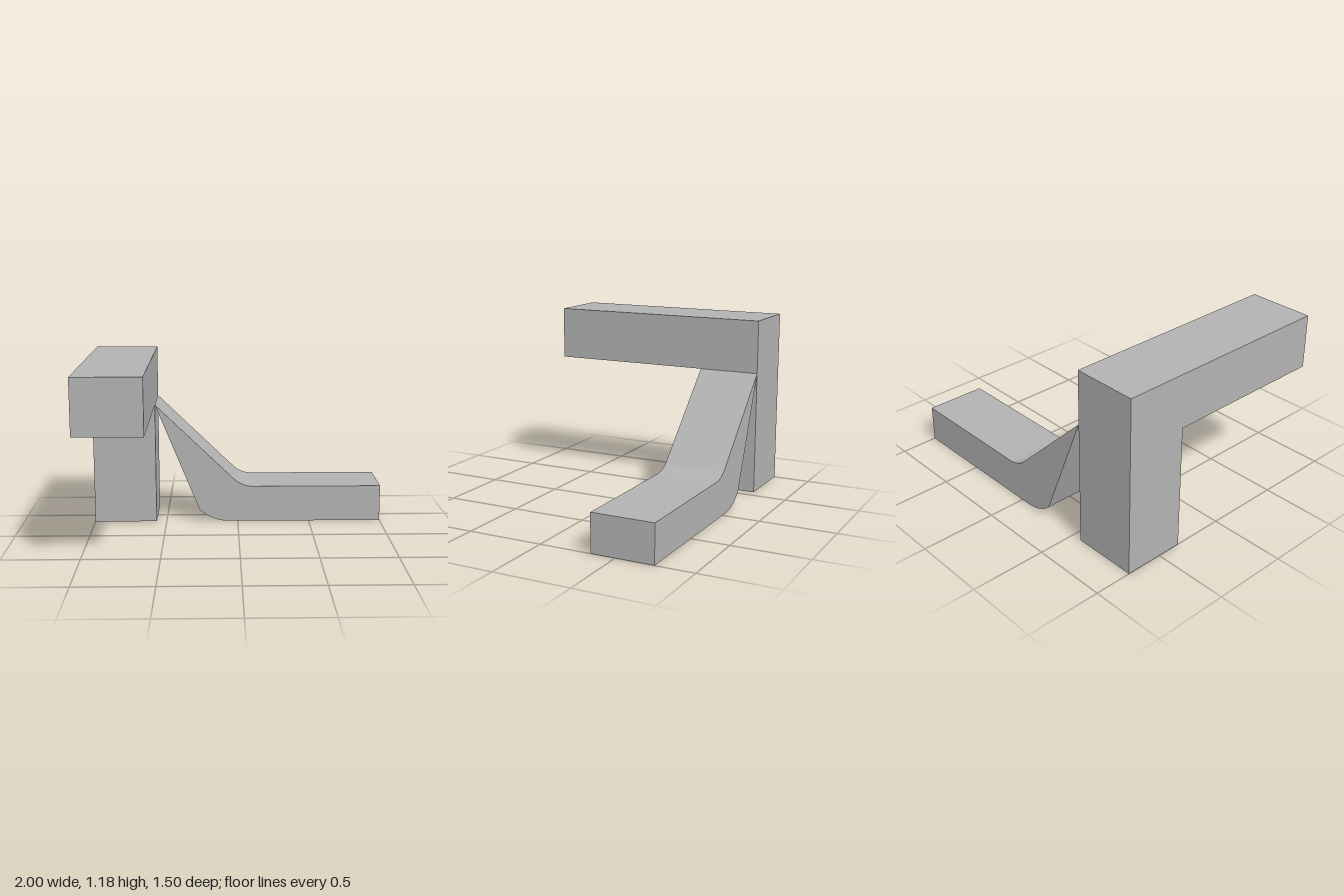
import * as THREE from 'three';
import { toCreasedNormals } from 'three/addons/utils/BufferGeometryUtils.js';

export function createModel() {
  const model = new THREE.Group();
  model.name = 'bentBracket';
  const grey = new THREE.MeshStandardMaterial({ color: 0xb2b2b2 });
  grey.name = 'grey';

  const backZ = -0.75, legDepth = 0.41;
  const left = -1, right = -0.57, shoulder = 0.83, top = 1.185;

  const add = (name, geometry) => {
    const mesh = new THREE.Mesh(geometry, grey);
    mesh.name = name;
    model.add(mesh);
  };
  const block = (x0, x1, y0, y1, z0, z1) =>
    new THREE.BoxGeometry(x1 - x0, y1 - y0, z1 - z0)
      .translate((x0 + x1) / 2, (y0 + y1) / 2, (z0 + z1) / 2);

  // Long beam on top and the upright post under its back end
  add('topBeam', block(left, right, shoulder, top, backZ, 0.75));
  add('post', block(left, right, 0, shoulder, backZ, backZ + legDepth));

  // Sloping arm that bends smoothly into a flat foot
  const down = -Math.PI / 2;
  const bend = THREE.MathUtils.degToRad(44);
  const profile = new THREE.Shape();
  profile.moveTo(right, 0.375);
  profile.absarc(-0.06, 0.3, 0.3, down - bend, down, false);
  profile.lineTo(1, 0);
  profile.lineTo(1, 0.25);
  profile.absarc(0.11, 0.45, 0.2, down, down - bend, true);
  profile.lineTo(right, shoulder);
  profile.closePath();
  const arm = new THREE.ExtrudeGeometry(profile, {
    depth: legDepth, bevelEnabled: false, curveSegments: 16,
  });
  arm.translate(0, 0, backZ);
  add('bentArm', toCreasedNormals(arm, 0.4));

  return model;
}
